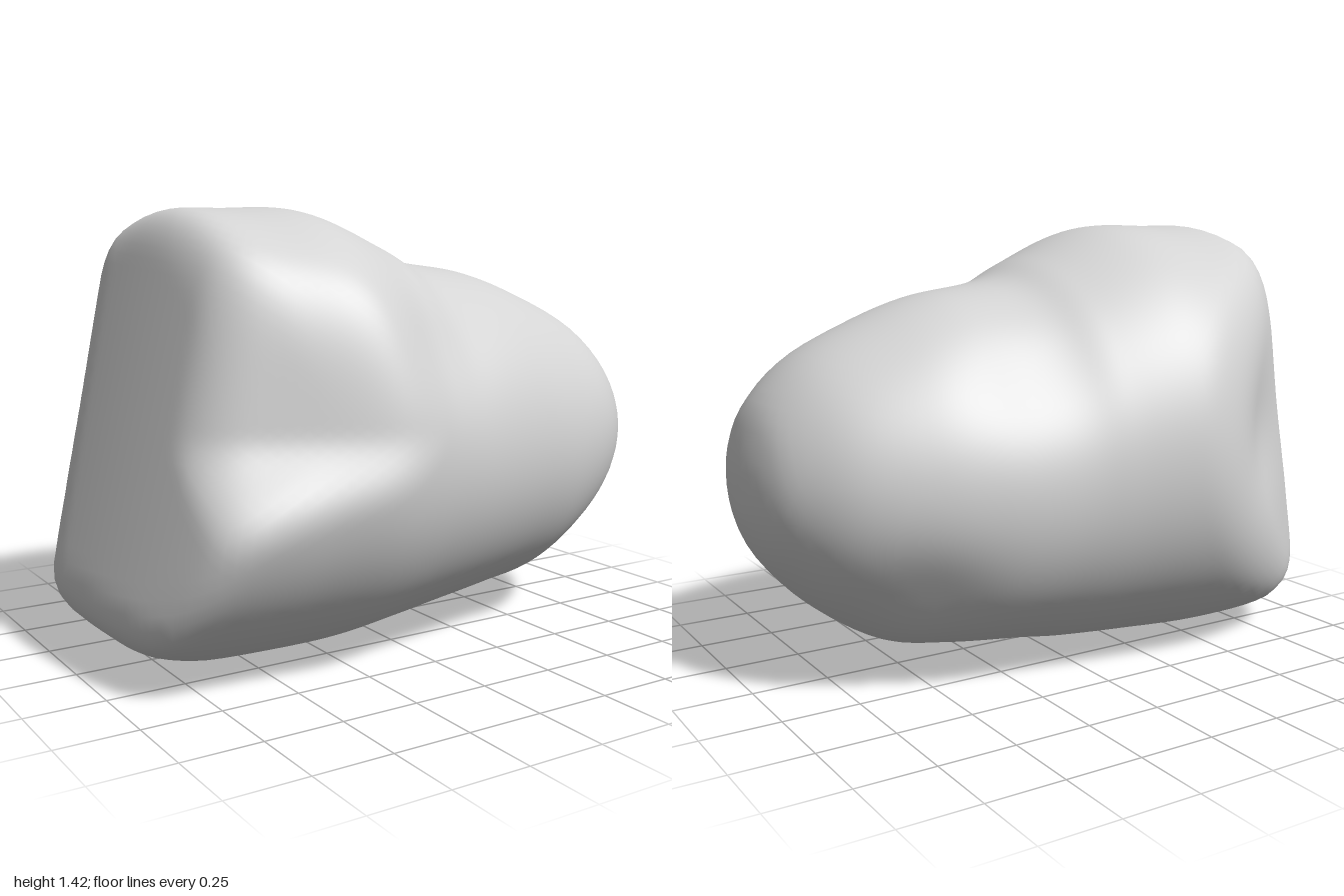
import * as THREE from 'three';
import { mergeVertices } from 'three/addons/utils/BufferGeometryUtils.js';

const stone = new THREE.MeshStandardMaterial({ color: 0xd4d4d4 });
stone.name = 'pale grey stone';

// Cross-sections along x: [x, bottom, top, back z, front z]
const sections = [
  [-1.2, 0.01, 1.42, -0.72, 0.67],
  [-0.8, 0.005, 1.42, -0.72, 0.67],
  [-0.5, 0.0, 1.42, -0.72, 0.69],
  [-0.25, 0.01, 1.415, -0.70, 0.71],
  [0, 0.03, 1.32, -0.645, 0.64],
  [0.15, 0.05, 1.25, -0.61, 0.605],
  [0.4, 0.08, 1.21, -0.565, 0.555],
  [0.6, 0.12, 1.14, -0.50, 0.515],
  [0.8, 0.25, 1.04, -0.39, 0.44],
  [0.93, 0.39, 0.91, -0.25, 0.33],
  [0.98, 0.49, 0.79, -0.14, 0.22],
  [1, 0.57, 0.70, -0.03, 0.10],
];
const curve = (f) => new THREE.CatmullRomCurve3(sections.map(f), false, 'catmullrom');
const heights = curve((s) => new THREE.Vector3(s[0], s[1], s[2]));
const depths = curve((s) => new THREE.Vector3(s[0], s[3], s[4]));
const samples = Array.from({ length: 161 }, (_, i) => {
  const h = heights.getPoint(i / 160), d = depths.getPoint(i / 160);
  return [h.x, h.y, h.z, d.y, d.z];
});

// Broken faces: [normal x, y, z, offset]
const faces = [
  [-0.97, 0.235, 0, 1.03],
  [-0.94, 0.22, 0.25, 1.015],
  [-0.6, 0.08, -0.8, 0.86],
  [-0.6, -0.8, 0, 0.455],
];

// Hollows: [x, y, z, radius, depth]
const hollows = [
  [-0.02, 1.0, 0.52, 0.18, 0.03],
  [0.3, 1.0, -0.48, 0.2, 0.03],
  [0.6, 0.35, -0.42, 0.17, 0.03],
  [-0.58, 0.75, -0.56, 0.2, 0.03],
];

function smoothMax(a, b, k) {
  const h = Math.max(k - Math.abs(a - b), 0) / k;
  return Math.max(a, b) + h * h * k / 4;
}

// Rounded body: below zero inside, above zero outside
function body(x, y, z) {
  if (x > 1) return x - 1;
  let i = 1;
  while (i < samples.length - 1 && samples[i][0] < x) i++;
  const a = samples[i - 1], b = samples[i];
  const t = THREE.MathUtils.clamp((x - a[0]) / (b[0] - a[0]), 0, 1);
  const [, y0, y1, z0, z1] = a.map((v, n) => v + (b[n] - v) * t);
  const hy = (y1 - y0) / 2, hz = (z1 - z0) / 2;
  return (Math.hypot((y - y0 - hy) / hy, (z - z0 - hz) / hz) - 1) * Math.min(hy, hz);
}

function rock({ x, y, z }) {
  let d = body(x, y, z);
  for (const [nx, ny, nz, o] of faces) {
    d = smoothMax(d, nx * x + ny * y + nz * z - o, 0.12);
  }
  // Front corner facet, ending in a ledge low down
  const ledge = 0.2 * (1 - THREE.MathUtils.smoothstep(y, 0.42, 0.78));
  d = smoothMax(d, -0.42 * x + 0.91 * z + 0.13 * (y - 0.9) - 0.71 - ledge, 0.1);
  for (const [hx, hy, hz, r, depth] of hollows) {
    const q = (x - hx) ** 2 + (y - hy) ** 2 + (z - hz) ** 2;
    d += depth * Math.exp(-q / (r * r));
  }
  return d;
}

// Push each vertex of a sphere out to the rock surface
function rockGeometry() {
  let geo = new THREE.IcosahedronGeometry(1, 26);
  geo.deleteAttribute('normal');
  geo.deleteAttribute('uv');
  geo = mergeVertices(geo, 1e-4);
  const centre = new THREE.Vector3(-0.1, 0.7, 0);
  const pos = geo.attributes.position;
  const dir = new THREE.Vector3(), p = new THREE.Vector3();
  for (let i = 0; i < pos.count; i++) {
    dir.fromBufferAttribute(pos, i);
    let near = 0, far = 1.5;
    for (let n = 0; n < 22; n++) {
      const mid = (near + far) / 2;
      p.copy(centre).addScaledVector(dir, mid);
      if (rock(p) < 0) near = mid;
      else far = mid;
    }
    pos.setXYZ(i, p.x, p.y, p.z);
  }
  geo.computeVertexNormals();
  return geo;
}

export function createModel() {
  const group = new THREE.Group();
  group.name = 'boulder';
  const mesh = new THREE.Mesh(rockGeometry(), stone);
  mesh.name = 'rock';
  group.add(mesh);
  return group;
}
